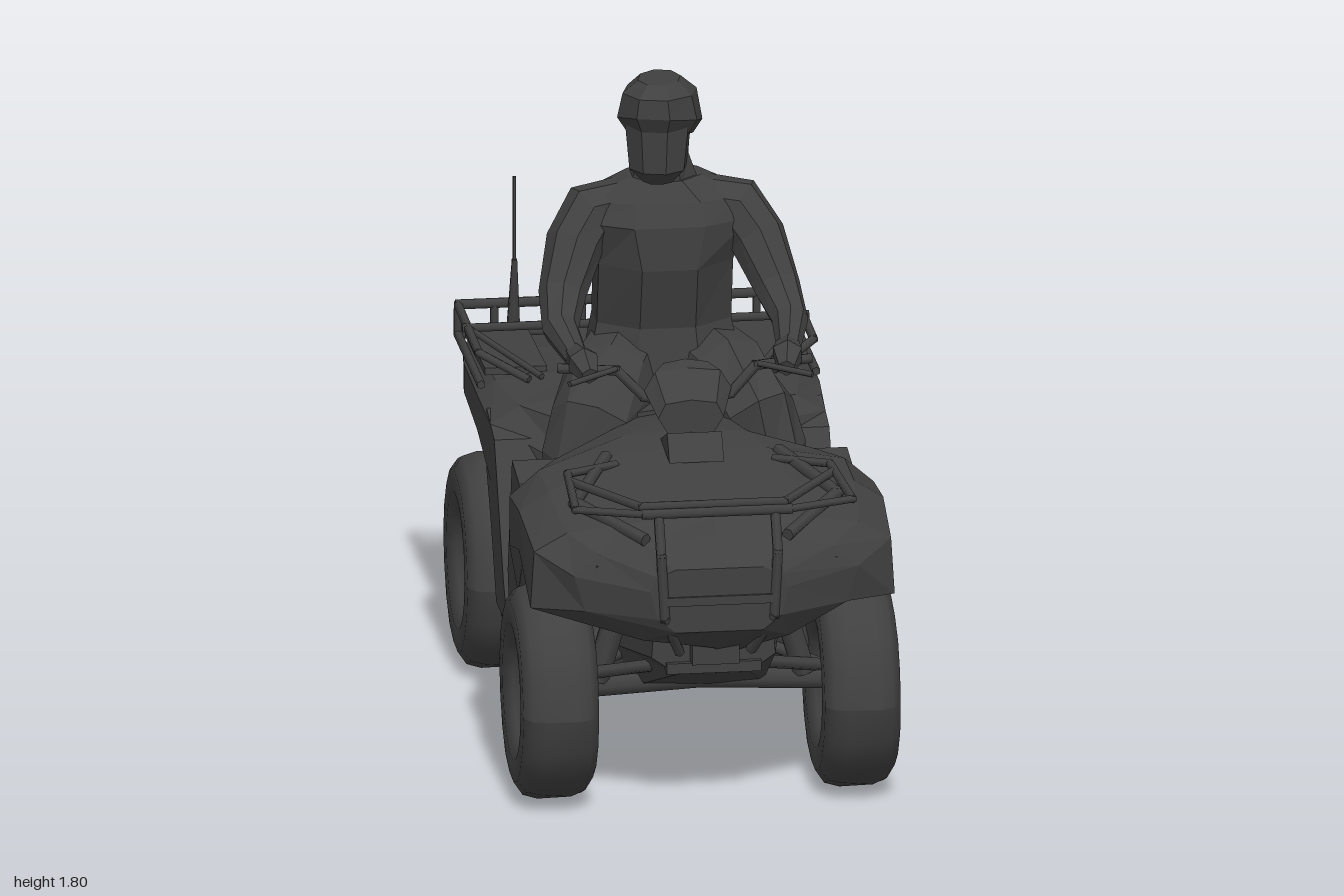
import * as THREE from 'three';
import { mergeGeometries } from 'three/addons/utils/BufferGeometryUtils.js';

const charcoal = new THREE.MeshStandardMaterial({ color: 0x404040, side: THREE.DoubleSide });
charcoal.name = 'charcoal';
const V = (p) => new THREE.Vector3(...p);

// flat-shaded skin over a row of equal-sized rings, with both ends capped
function loft(rings) {
  const pos = [];
  const tri = (...pts) => pts.forEach((p) => pos.push(...p));
  const n = rings[0].length;
  for (let i = 0; i < rings.length - 1; i++) for (let j = 0; j < n; j++) {
    const k = (j + 1) % n, a = rings[i][j], b = rings[i][k], c = rings[i + 1][k], d = rings[i + 1][j];
    tri(a, b, c, a, c, d);
  }
  [rings[0], rings[rings.length - 1]].forEach((r, e) => {
    const mid = [0, 1, 2].map((q) => r.reduce((s, p) => s + p[q], 0) / n);
    r.forEach((p, j) => (e ? tri(mid, p, r[(j + 1) % n]) : tri(mid, r[(j + 1) % n], p)));
  });
  const g = new THREE.BufferGeometry();
  g.setAttribute('position', new THREE.Float32BufferAttribute(pos, 3));
  g.computeVertexNormals();
  return g;
}

// mirrored cross-section at z, given from top centre round to bottom centre
const ring = (z, half) => [
  ...half.map(([x, y]) => [x, y, z]),
  ...half.filter(([x]) => x > 0).reverse().map(([x, y]) => [-x, y, z]),
];

// tapered limb through [x, y, z, radius] stations
function limb(st, n = 7) {
  return loft(st.map((s, i) => {
    const a = V(st[Math.max(i - 1, 0)].slice(0, 3)), b = V(st[Math.min(i + 1, st.length - 1)].slice(0, 3));
    const dir = b.sub(a).normalize();
    const u = new THREE.Vector3(1, 0, 0).cross(dir).normalize(), v = dir.clone().cross(u);
    return Array.from({ length: n }, (_, j) => {
      const t = (j / n) * Math.PI * 2;
      return V(s.slice(0, 3)).addScaledVector(u, Math.cos(t) * s[3]).addScaledVector(v, Math.sin(t) * s[3]).toArray();
    });
  }));
}

// straight bars joining points
function bars(pts, r = 0.012, r2 = r) {
  return mergeGeometries(pts.slice(1).map((p, i) => {
    const a = V(pts[i]), d = V(p).sub(a);
    const g = new THREE.CylinderGeometry(r2, r, d.length() + r, 6);
    g.applyQuaternion(new THREE.Quaternion().setFromUnitVectors(new THREE.Vector3(0, 1, 0), d.clone().normalize()));
    return g.translate(...a.addScaledVector(d, 0.5).toArray());
  }));
}

// side-view outline of [z, y] points, thick across x
function plate(zy, x0, x1) {
  const g = new THREE.ExtrudeGeometry(new THREE.Shape(zy.map(([z, y]) => new THREE.Vector2(-z, y))), { depth: x1 - x0, bevelEnabled: false });
  return g.rotateY(Math.PI / 2).translate(x0, 0, 0);
}
const box = (w, h, d, x, y, z, rx = 0) => new THREE.BoxGeometry(w, h, d).rotateX(rx).translate(x, y, z);

function wheel() {
  const g = new THREE.Group();
  const half = [[0, -0.03], [0.13, -0.03], [0.15, -0.08], [0.19, -0.104], [0.25, -0.104], [0.283, -0.08], [0.296, -0.04]];
  const prof = [...half, ...half.slice().reverse().map(([r, y]) => [r, -y])].map((p) => new THREE.Vector2(...p));
  const tyre = new THREE.LatheGeometry(prof, 18).rotateZ(-Math.PI / 2);
  // worn, uneven tread
  const p = tyre.attributes.position;
  for (let i = 0; i < p.count; i++) {
    const r = Math.hypot(p.getY(i), p.getZ(i));
    if (r < 0.24) continue;
    const k = 1 + 0.012 * Math.sin(6 * Math.atan2(p.getY(i), p.getZ(i)) + 40 * p.getX(i));
    p.setXYZ(i, p.getX(i), p.getY(i) * k, p.getZ(i) * k);
  }
  tyre.computeVertexNormals();
  const parts = [new THREE.CylinderGeometry(0.045, 0.06, 0.11, 8).rotateZ(-Math.PI / 2)];
  for (let i = 0; i < 4; i++) {
    const t = (i + 0.5) * Math.PI / 2;
    parts.push(box(0.09, 0.025, 0.025, 0, 0.1 * Math.cos(t), 0.1 * Math.sin(t)));
  }
  add(g, 'tyre', tyre);
  add(g, 'hub', mergeGeometries(parts));
  return g;
}

function add(parent, name, geo) {
  const m = new THREE.Mesh(geo, charcoal);
  m.name = name;
  parent.add(m);
}

export function createModel() {
  const model = new THREE.Group();
  model.name = 'quadBikeWithRider';
  const bike = new THREE.Group(), rider = new THREE.Group();
  bike.name = 'quadBike';
  rider.name = 'rider';
  model.add(bike, rider);

  // bodywork
  add(bike, 'frontCowl', loft([
    ring(0.99, [[0, 0.76], [0.12, 0.76], [0.17, 0.74], [0.19, 0.7], [0.17, 0.62], [0.12, 0.58], [0, 0.58]]),
    ring(0.92, [[0, 0.83], [0.2, 0.82], [0.32, 0.79], [0.39, 0.73], [0.36, 0.63], [0.2, 0.54], [0, 0.51]]),
    ring(0.84, [[0, 0.86], [0.24, 0.85], [0.4, 0.83], [0.49, 0.78], [0.5, 0.62], [0.27, 0.6], [0, 0.46]]),
    ring(0.6, [[0, 0.89], [0.25, 0.88], [0.42, 0.87], [0.5, 0.82], [0.5, 0.71], [0.27, 0.68], [0, 0.45]]),
    ring(0.4, [[0, 0.92], [0.2, 0.91], [0.42, 0.87], [0.5, 0.8], [0.5, 0.66], [0.27, 0.6], [0, 0.45]]),
    ring(0.28, [[0, 0.93], [0.17, 0.92], [0.36, 0.86], [0.47, 0.77], [0.46, 0.48], [0.27, 0.42], [0, 0.42]]),
    ring(0.1, [[0, 0.92], [0.14, 0.9], [0.24, 0.83], [0.27, 0.72], [0.27, 0.45], [0.2, 0.4], [0, 0.4]]),
    ring(-0.12, [[0, 0.88], [0.13, 0.87], [0.2, 0.81], [0.24, 0.7], [0.24, 0.45], [0.2, 0.4], [0, 0.4]]),
  ]));
  add(bike, 'rearCowl', loft([
    ring(-0.1, [[0, 0.88], [0.13, 0.87], [0.2, 0.81], [0.25, 0.7], [0.25, 0.45], [0.15, 0.35], [0, 0.35]]),
    ring(-0.3, [[0, 0.88], [0.18, 0.86], [0.38, 0.83], [0.46, 0.78], [0.46, 0.62], [0.26, 0.55], [0, 0.4]]),
    ring(-0.5, [[0, 0.88], [0.2, 0.86], [0.42, 0.84], [0.47, 0.8], [0.47, 0.7], [0.27, 0.66], [0, 0.5]]),
    ring(-0.78, [[0, 0.85], [0.2, 0.84], [0.43, 0.83], [0.47, 0.8], [0.47, 0.72], [0.26, 0.68], [0, 0.62]]),
    ring(-0.95, [[0, 0.82], [0.2, 0.82], [0.42, 0.82], [0.45, 0.8], [0.44, 0.77], [0.25, 0.72], [0, 0.7]]),
  ]));
  add(bike, 'chassis', loft([
    ring(0.86, [[0, 0.62], [0.16, 0.6], [0.17, 0.47], [0.1, 0.42], [0, 0.42]]),
    ring(0.52, [[0, 0.6], [0.2, 0.6], [0.22, 0.4], [0.18, 0.28], [0, 0.27]]),
    ring(0.28, [[0, 0.5], [0.27, 0.42], [0.45, 0.33], [0.45, 0.28], [0, 0.27]]),
    ring(-0.16, [[0, 0.5], [0.27, 0.42], [0.45, 0.33], [0.45, 0.28], [0, 0.27]]),
    ring(-0.38, [[0, 0.6], [0.26, 0.5], [0.28, 0.4], [0.22, 0.29], [0, 0.28]]),
    ring(-0.78, [[0, 0.65], [0.16, 0.6], [0.16, 0.42], [0.12, 0.36], [0, 0.36]]),
  ]));
  add(bike, 'seat', loft([
    ring(0.05, [[0, 0.92], [0.1, 0.91], [0.14, 0.85], [0, 0.84]]),
    ring(-0.3, [[0, 0.9], [0.15, 0.89], [0.2, 0.84], [0, 0.82]]),
    ring(-0.58, [[0, 0.88], [0.12, 0.87], [0.16, 0.84], [0, 0.82]]),
  ]));
  add(bike, 'grille', mergeGeometries([box(0.13, 0.08, 0.06, 0, 0.5, 0.88), box(0.26, 0.03, 0.05, 0, 0.44, 0.85), box(0.3, 0.025, 0.03, 0, 0.67, 0.982)]));
  add(bike, 'dashboard', plate([[0.51, 0.91], [0.46, 0.98], [0.32, 0.92]], -0.075, 0.075));
  add(bike, 'steeringColumn', limb([[0, 0.9, 0.35, 0.05], [0, 1.02, 0.33, 0.05]], 6));
  add(bike, 'instrumentPod', loft([
    ring(0.39, [[0, 1.05], [0.07, 1.04], [0.09, 1.0], [0.06, 0.95], [0, 0.94]]),
    ring(0.32, [[0, 1.12], [0.09, 1.11], [0.12, 1.06], [0.08, 0.99], [0, 0.97]]),
    ring(0.27, [[0, 1.13], [0.06, 1.12], [0.08, 1.08], [0.05, 1.04], [0, 1.03]]),
  ]));
  add(bike, 'rearHitch', box(0.16, 0.12, 0.12, 0, 0.7, -0.84));

  for (const s of [1, -1]) {
    const side = s > 0 ? 'left' : 'right';
    const span = s > 0 ? [0.25, 0.46] : [-0.46, -0.25];
    add(bike, side + 'FrontPanel', plate([[0.42, 0.68], [0.3, 0.8], [0.15, 0.82], [0.06, 0.48], [0.1, 0.33], [0.28, 0.33], [0.3, 0.5]], ...span));
    add(bike, side + 'RearPanel', plate([[-0.03, 0.42], [-0.22, 0.76], [-0.38, 0.8], [-0.38, 0.62], [-0.29, 0.5], [-0.18, 0.31], [0.06, 0.31]], ...span));

    // wheels, axles and suspension
    for (const [end, z] of [['Front', 0.58], ['Rear', -0.59]]) {
      const w = wheel();
      w.name = side + end + 'Wheel';
      w.position.set(s * 0.414, 0.3, z);
      bike.add(w);
      add(bike, side + end + 'Suspension', mergeGeometries([
        bars([[0, 0.32, z], [s * 0.4, 0.3, z]], 0.03),
        bars([[s * 0.12, 0.4, z + 0.12], [s * 0.34, 0.34, z], [s * 0.12, 0.4, z - 0.12]], 0.018),
        bars([[s * 0.28, 0.34, z], [s * 0.18, 0.68, z]], 0.035),
      ]));
    }

    // handlebar and lever
    add(bike, side + 'Handlebar', mergeGeometries([
      bars([[0, 1.02, 0.31], [s * 0.12, 1.04, 0.31], [s * 0.19, 1.11, 0.29], [s * 0.34, 1.11, 0.25]], 0.015),
      bars([[s * 0.2, 1.12, 0.31], [s * 0.33, 1.11, 0.39]], 0.009),
    ]));
    // raised hood edge and headlamp
    add(bike, side + 'HoodRidge', bars([[s * 0.2, 0.83, 0.92], [s * 0.36, 0.87, 0.7], [s * 0.24, 0.905, 0.42]], 0.018));
    add(bike, side + 'Headlamp', loft([
      ring(0.92, [[0, 0.03], [0.06, 0.02], [0.05, -0.03], [0, -0.04]]),
      ring(0.82, [[0, 0.04], [0.1, 0.04], [0.09, -0.04], [0, -0.05]]),
    ]).translate(s * 0.27, 0.74, 0.01));

    // rider limbs
    add(rider, side + 'Leg', limb([[s * 0.09, 0.98, -0.26, 0.12], [s * 0.16, 0.95, -0.1, 0.13], [s * 0.22, 0.88, 0.03, 0.12],
      [s * 0.255, 0.78, 0.03, 0.11], [s * 0.29, 0.62, 0.01, 0.07], [s * 0.31, 0.46, 0.0, 0.045], [s * 0.31, 0.34, 0.0, 0.045]], 8));
    add(rider, side + 'Boot', box(0.09, 0.08, 0.22, s * 0.33, 0.37, 0.06));
    add(rider, side + 'Arm', limb([[s * 0.1, 1.44, -0.19, 0.07], [s * 0.2, 1.415, -0.18, 0.085], [s * 0.25, 1.34, -0.14, 0.08],
      [s * 0.295, 1.22, -0.06, 0.065], [s * 0.315, 1.16, 0.06, 0.05], [s * 0.29, 1.125, 0.22, 0.032]], 8));
    add(rider, side + 'Hand', limb([[s * 0.29, 1.13, 0.2, 0.035], [s * 0.28, 1.13, 0.27, 0.045], [s * 0.27, 1.11, 0.33, 0.025]], 6));
  }

  // front guard and rack
  const both = (f) => mergeGeometries([f(1), f(-1)]);
  add(bike, 'frontRack', mergeGeometries([
    bars([[-0.2, 0.905, 0.935], [0.2, 0.905, 0.935]], 0.014),
    bars([[-0.2, 0.9, 0.85], [0.2, 0.9, 0.85]]),
    both((s) => bars([[s * 0.2, 0.905, 0.935], [s * 0.38, 0.905, 0.87], [s * 0.36, 0.905, 0.55], [s * 0.22, 0.9, 0.47]])),
    both((s) => bars([[s * 0.2, 0.9, 0.85], [s * 0.36, 0.905, 0.62]])),
    both((s) => bars([[s * 0.16, 0.9, 0.93], [s * 0.16, 0.8, 0.985], [s * 0.15, 0.62, 0.985], [s * 0.1, 0.5, 0.9]], 0.015)),
  ]));

  // rear rack with upper and lower rails
  const slats = [-0.36, -0.12, 0.12, 0.36];
  add(bike, 'rearRack', mergeGeometries([
    bars([[-0.46, 0.905, -0.98], [0.46, 0.905, -0.98]], 0.014),
    bars([[-0.46, 0.82, -0.985], [0.46, 0.82, -0.985]], 0.014),
    bars([[-0.47, 0.905, -0.77], [0.47, 0.905, -0.77]]),
    both((s) => bars([[s * 0.46, 0.82, -0.985], [s * 0.46, 0.905, -0.98], [s * 0.46, 0.905, -0.55], [s * 0.34, 0.86, -0.44]])),
    both((s) => bars([[s * 0.46, 0.82, -0.98], [s * 0.46, 0.83, -0.5]])),
    both((s) => bars([[s * 0.46, 0.905, -0.77], [s * 0.3, 0.86, -0.46]], 0.009)),
    ...slats.map((x) => bars([[x, 0.82, -0.98], [x, 0.905, -0.98]])),
    ...slats.map((x) => box(0.17, 0.02, 0.42, x, 0.845, -0.74, -0.05)),
  ]));
  add(bike, 'antenna', mergeGeometries([
    bars([[-0.31, 0.82, -0.965], [-0.31, 1.03, -0.94]], 0.022, 0.008),
    bars([[-0.31, 1.02, -0.94], [-0.31, 1.275, -0.94]], 0.005),
  ]));

  // eight-sided section: [y, centre z, half width, half depth]
  const oct = ([y, z, w, d]) => Array.from({ length: 8 }, (_, j) => {
    const t = (j + 0.5) * Math.PI / 4;
    return [w * Math.cos(t) * 1.08, y, z - d * Math.sin(t) * 1.08];
  });
  add(rider, 'torso', loft([[0.87, -0.2, 0.21, 0.14], [0.95, -0.22, 0.215, 0.15], [1.1, -0.23, 0.185, 0.135], [1.28, -0.2, 0.185, 0.155],
    [1.4, -0.18, 0.235, 0.13], [1.46, -0.19, 0.215, 0.11], [1.515, -0.2, 0.1, 0.09]].map(oct)));
  add(rider, 'neck', loft([[1.48, -0.2, 0.1, 0.085], [1.58, -0.19, 0.065, 0.09], [1.66, -0.18, 0.065, 0.08]].map(oct)));

  // head, turned a little to one side
  const head = new THREE.Group();
  head.name = 'head';
  head.position.set(-0.015, 0, -0.15);
  head.rotation.y = -0.25;
  rider.add(head);
  add(head, 'face', loft([[1.52, 0.04, 0.04, 0.04], [1.56, 0.04, 0.075, 0.075], [1.72, 0.03, 0.09, 0.09]].map(oct)));
  // helmet rings tilt down toward the back
  add(head, 'helmet', loft([[1.645, 0, 0.085, 0.12, 0.3], [1.685, 0, 0.11, 0.145, 0.28], [1.765, 0.005, 0.095, 0.135, 0.1],
    [1.805, 0.015, 0.055, 0.07, 0]].map(([y, z, w, d, tilt]) => oct([y, z, w, d]).map((p) => [p[0], p[1] + p[2] * tilt, p[2]]))));
  return model;
}
